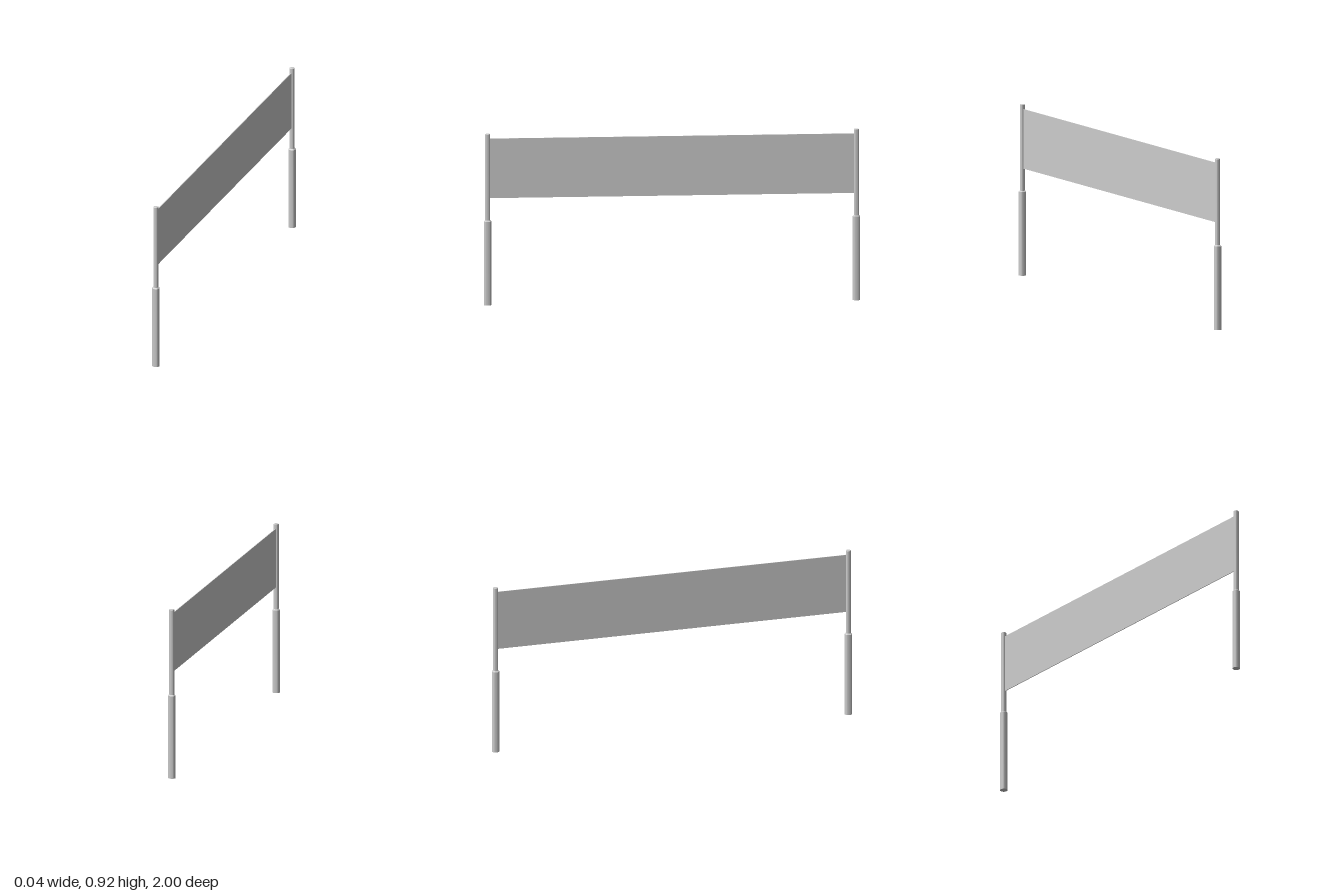
import * as THREE from 'three';
import { toCreasedNormals } from 'three/addons/utils/BufferGeometryUtils.js';

const POST_Z = 0.98;

export function createModel() {
  const model = new THREE.Group();
  model.name = 'bannerOnPosts';
  const grey = new THREE.MeshStandardMaterial({ color: 0xcccccc });

  const add = (parent, name, geometry) => {
    const mesh = new THREE.Mesh(geometry, grey);
    mesh.name = name;
    parent.add(mesh);
    return mesh;
  };

  // Round bar with a small chamfer at its top edge
  const bar = (radius, bottom, top, chamfer) => {
    const profile = [
      [0, bottom], [radius, bottom], [radius, top - chamfer],
      [radius - chamfer, top], [0, top],
    ].map(([x, y]) => new THREE.Vector2(x, y));
    return toCreasedNormals(new THREE.LatheGeometry(profile, 24), 0.6);
  };

  // Two posts: thick lower sleeve, slim upper pole
  for (const side of [1, -1]) {
    const post = new THREE.Group();
    post.name = side > 0 ? 'frontPost' : 'backPost';
    post.position.z = side * POST_Z;
    add(post, 'lowerSleeve', bar(0.02, 0, 0.456, 0.006));
    add(post, 'upperPole', bar(0.0135, 0.44, 0.92, 0.002));
    model.add(post);
  }

  // Thin banner stretched between the poles
  const banner = add(model, 'banner', new THREE.BoxGeometry(0.004, 0.32, 2 * POST_Z - 0.02));
  banner.position.y = 0.735;

  return model;
}
